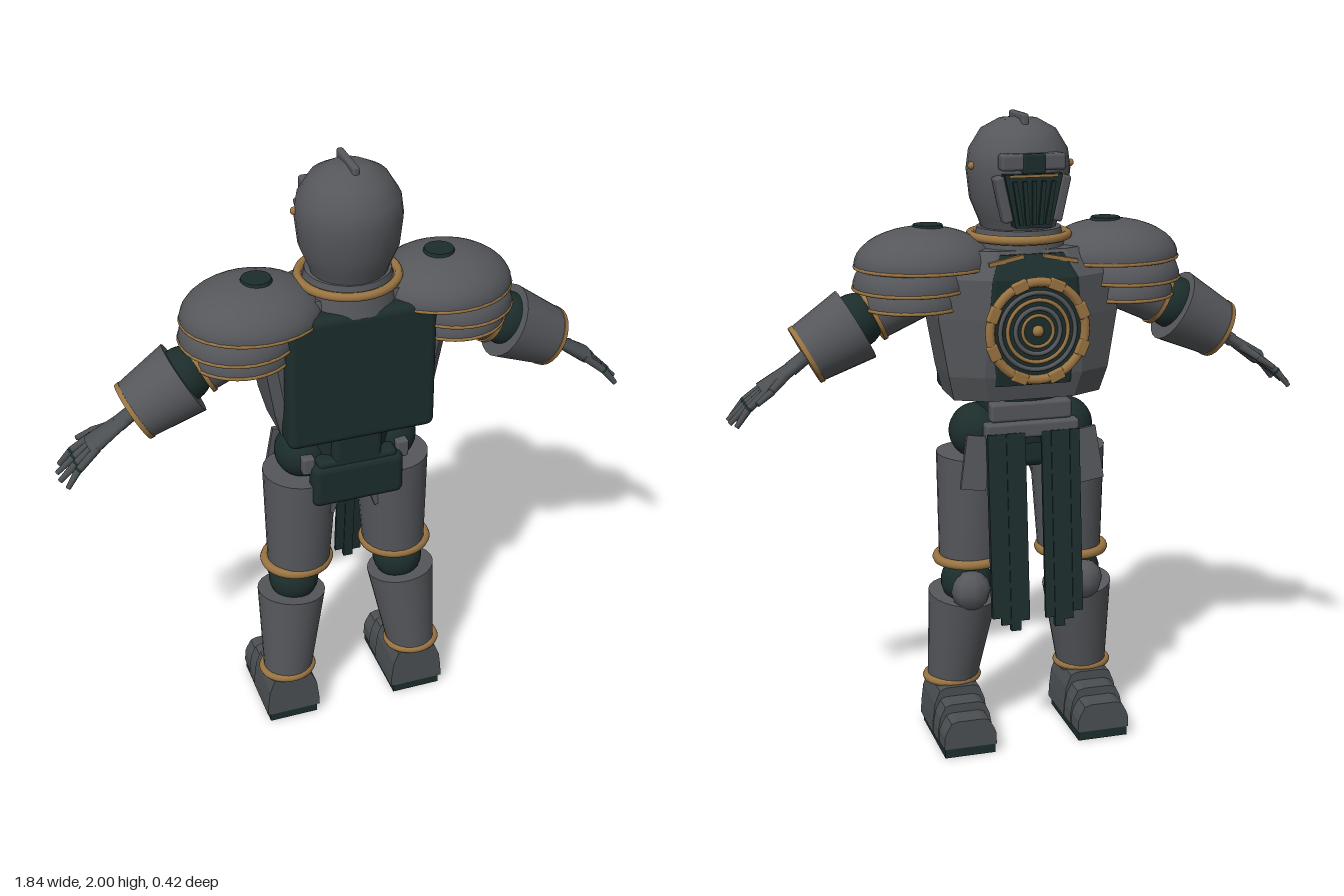
import * as THREE from 'three';
import { RoundedBoxGeometry } from 'three/addons/geometries/RoundedBoxGeometry.js';

const paint = (name, color) =>
  new THREE.MeshStandardMaterial({ name, color, side: THREE.DoubleSide });

export function createModel() {
  const model = new THREE.Group();
  const steel = paint('steel', 0x55575b);
  const gunmetal = paint('gunmetal', 0x4b4f52);
  const dark = paint('dark underlayer', 0x1c2d2c);
  const brass = paint('brass', 0x9a7442);

  const add = (name, geo, mat, x = 0, y = 0, z = 0) => {
    const m = new THREE.Mesh(geo, mat);
    m.name = name;
    m.position.set(x, y, z);
    model.add(m);
    return m;
  };
  const box = (name, mat, w, h, d, x, y, z, r = 0) =>
    add(name, r ? new RoundedBoxGeometry(w, h, d, 3, r) : new THREE.BoxGeometry(w, h, d), mat, x, y, z);
  const ball = (name, mat, r, x, y, z) => add(name, new THREE.SphereGeometry(r, 24, 16), mat, x, y, z);

  // Tapered limb from a to b; flat squashes it across the arm plane
  const up = new THREE.Vector3(0, 1, 0);
  const limb = (name, mat, a, b, ra, rb, flat = 1, sides = 24) => {
    const p = new THREE.Vector3(...a), q = new THREE.Vector3(...b), d = q.clone().sub(p);
    const m = add(name, new THREE.CylinderGeometry(rb, ra, d.length(), sides), mat);
    m.position.copy(p).add(q).multiplyScalar(0.5);
    m.quaternion.setFromUnitVectors(up, d.normalize());
    m.scale.x = flat;
    return m;
  };
  // Level ring, stretched to an ellipse
  const ring = (name, mat, rx, rz, tube, x, y, z) => {
    const m = add(name, new THREE.TorusGeometry(1, tube / rx, 8, 40), mat, x, y, z);
    m.rotation.x = Math.PI / 2;
    m.scale.set(rx, rz, rx);
    return m;
  };
  // Flat-shaded solid through chamfered sections [y, half width, back z, front z, back cut, front cut]
  const loft = (name, mat, sections) => {
    const pos = [], idx = [], n = 8;
    for (const [y, w, b, f, cb, cf] of sections)
      for (const [x, z] of [[w - cb, b], [w, b - cb], [w, f + cf * 0.5], [w - cf, f],
        [cf - w, f], [-w, f + cf * 0.5], [-w, b - cb], [cb - w, b]]) pos.push(x, y, z);
    for (let k = 0; k < sections.length - 1; k++)
      for (let i = 0; i < n; i++) {
        const a = k * n + i, b = k * n + (i + 1) % n;
        idx.push(a, b, a + n, b, b + n, a + n);
      }
    const top = (sections.length - 1) * n;
    for (let i = 1; i < n - 1; i++) idx.push(0, i + 1, i, top, top + i, top + i + 1);
    const g = new THREE.BufferGeometry();
    g.setAttribute('position', new THREE.Float32BufferAttribute(pos, 3));
    g.setIndex(idx);
    const flat = g.toNonIndexed();
    flat.computeVertexNormals();
    return add(name, flat, mat);
  };
  const extrude = (pts, depth) => new THREE.ExtrudeGeometry(
    new THREE.Shape(pts.map(p => new THREE.Vector2(...p))), { depth, bevelEnabled: false });

  // Helmet, crest and collar
  const profile = [[0.115, 1.65], [0.125, 1.68], [0.15, 1.74], [0.16, 1.83], [0.152, 1.89],
    [0.115, 1.95], [0.06, 1.98], [0, 1.987]].map(p => new THREE.Vector2(...p));
  add('helmet', new THREE.LatheGeometry(profile, 24), steel, 0, 0, 0.023);
  box('crest', steel, 0.022, 0.08, 0.15, 0, 1.96, 0.015, 0.008);
  add('gorget', new THREE.CylinderGeometry(0.13, 0.15, 0.1, 32), steel, 0, 1.605, 0.015);
  ring('collarTrim', brass, 0.15, 0.15, 0.014, 0, 1.63, 0.015);

  // Visor: ribbed face plate, brow and cheek plates
  add('facePlate', extrude([[-0.055, 1.67], [0.055, 1.67], [0.09, 1.83], [-0.09, 1.83]], 0.05), dark, 0, 0, -0.145);
  box('brow', steel, 0.2, 0.05, 0.05, 0, 1.865, -0.125, 0.01);
  box('browInset', dark, 0.07, 0.06, 0.05, 0, 1.86, -0.13, 0.008);
  box('eyeSlit', brass, 0.15, 0.008, 0.008, 0, 1.825, -0.146);
  for (let i = -2; i <= 2; i++) {
    const rib = box('faceRib', dark, 0.013, 0.13, 0.014, i * 0.025, 1.745, -0.148);
    rib.rotation.z = -i * 0.08;
  }

  // Chest, front panel and backpack
  loft('chest', steel, [
    [1.14, 0.235, 0.1, -0.13, 0.03, 0.1], [1.22, 0.255, 0.11, -0.15, 0.03, 0.1],
    [1.4, 0.285, 0.12, -0.166, 0.03, 0.14], [1.52, 0.275, 0.12, -0.166, 0.03, 0.14],
    [1.6, 0.17, 0.1, -0.12, 0.03, 0.06]]);
  loft('chestPanel', dark, [
    [1.19, 0.12, -0.1, -0.15, 0.01, 0.01], [1.4, 0.145, -0.1, -0.172, 0.01, 0.01],
    [1.52, 0.135, -0.1, -0.172, 0.01, 0.01], [1.59, 0.1, -0.1, -0.132, 0.01, 0.01]]);
  box('backpack', dark, 0.47, 0.44, 0.1, 0, 1.35, 0.112, 0.025);
  box('backpackTab', dark, 0.16, 0.14, 0.06, 0, 1.08, 0.09, 0.02);

  // Round chest emblem: dished disc with concentric rings
  const disc = add('emblemDisc', new THREE.CylinderGeometry(0.155, 0.155, 0.03, 40), dark, 0, 1.365, -0.175);
  disc.rotation.x = Math.PI / 2;
  for (const [r, t, mat] of [[0.15, 0.015, brass], [0.118, 0.007, steel], [0.095, 0.006, brass],
    [0.07, 0.007, steel], [0.048, 0.005, brass]])
    add('emblemRing', new THREE.TorusGeometry(r, t, 8, 40), mat, 0, 1.365, -0.19);
  ball('emblemStud', brass, 0.018, 0, 1.365, -0.19);
  for (let i = 0; i < 8; i++) {
    const a = (i + 0.5) * Math.PI / 4;
    box('emblemLug', brass, 0.035, 0.05, 0.02, Math.cos(a) * 0.15, 1.365 + Math.sin(a) * 0.15, -0.195, 0.006)
      .rotation.z = a;
  }

  // Waist, pelvis and belt
  add('abdomen', new THREE.CylinderGeometry(0.15, 0.13, 0.18, 24), dark, 0, 1.08, 0).scale.z = 0.8;
  box('pelvis', dark, 0.22, 0.16, 0.14, 0, 0.98, 0, 0.03);
  box('seatPlate', dark, 0.3, 0.15, 0.07, 0, 0.95, 0.095, 0.025);
  box('seatTop', dark, 0.26, 0.05, 0.06, 0, 1.015, 0.09, 0.015);
  box('belt', steel, 0.26, 0.06, 0.05, 0, 1.1, -0.105, 0.01);
  box('beltLower', steel, 0.3, 0.05, 0.05, 0, 1.045, -0.12, 0.01);

  for (const s of [-1, 1]) {
    // Helmet and collar fittings
    const cheek = box('cheekPlate', steel, 0.03, 0.14, 0.05, s * 0.09, 1.755, -0.118, 0.008);
    cheek.rotation.z = -s * 0.22;
    ball('helmetStud', brass, 0.012, s * 0.155, 1.845, -0.01);
    box('collarBar', brass, 0.11, 0.012, 0.014, s * 0.085, 1.575, -0.142).rotation.z = -s * 0.2;

    // Layered shoulder armour
    for (const [x, y, rx, h, rz, z] of [[0.3, 1.55, 0.215, 0.115, 0.19, 0.018],
      [0.342, 1.485, 0.178, 0.12, 0.183, 0.015], [0.34, 1.43, 0.16, 0.12, 0.16, 0.015]]) {
      const dome = add('shoulderPlate',
        new THREE.SphereGeometry(1, 28, 10, 0, Math.PI * 2, 0, Math.PI / 2), steel, s * x, y, z);
      dome.scale.set(rx, h, rz);
      ring('shoulderTrim', brass, rx * 0.985, rz * 0.985, 0.006, s * x, y - 0.003, z);
    }
    add('shoulderCap', new THREE.CylinderGeometry(0.045, 0.05, 0.015, 20), dark, s * 0.285, 1.662, 0.025);

    // Arm
    limb('upperArm', steel, [s * 0.3, 1.48, 0.02], [s * 0.46, 1.4, 0.02], 0.085, 0.078);
    limb('upperArmTrim', brass, [s * 0.455, 1.402, 0.02], [s * 0.467, 1.396, 0.02], 0.083, 0.083);
    ball('elbow', dark, 0.085, s * 0.515, 1.385, 0.02);
    limb('forearm', steel, [s * 0.515, 1.375, 0.02], [s * 0.67, 1.29, 0.02], 0.118, 0.094);
    limb('cuffTrim', brass, [s * 0.662, 1.294, 0.02], [s * 0.675, 1.287, 0.02], 0.098, 0.096);

    // Hand with jointed fingers
    limb('wrist', gunmetal, [s * 0.66, 1.295, 0.015], [s * 0.72, 1.25, 0.012], 0.03, 0.032, 0.7, 14);
    limb('palm', gunmetal, [s * 0.7, 1.265, 0.012], [s * 0.81, 1.19, 0.01], 0.034, 0.05, 0.5, 14);
    for (let i = 0; i < 4; i++) {
      const t = i - 1.5, z0 = 0.01 + t * 0.025, z1 = 0.01 + t * 0.036, z2 = 0.01 + t * 0.045;
      const reach = 0.92 - Math.abs(t) * 0.015;
      limb('finger', gunmetal, [s * 0.795, 1.2, z0], [s * 0.855, 1.152, z1], 0.013, 0.012, 1, 8);
      ball('knuckle', dark, 0.012, s * 0.858, 1.15, z1);
      limb('fingertip', gunmetal, [s * 0.86, 1.148, z1], [s * reach, 1.1, z2], 0.012, 0.008, 1, 8);
    }
    limb('thumb', gunmetal, [s * 0.74, 1.235, -0.01], [s * 0.79, 1.2, -0.055], 0.015, 0.012, 1, 8);
    limb('thumbTip', gunmetal, [s * 0.788, 1.2, -0.053], [s * 0.835, 1.17, -0.075], 0.012, 0.008, 1, 8);

    // Hip, thigh and hip plates
    ball('hip', dark, 0.088, s * 0.145, 1.02, -0.008);
    limb('thigh', steel, [s * 0.165, 0.6, 0], [s * 0.153, 0.95, -0.005], 0.102, 0.12);
    ring('thighTrim', brass, 0.104, 0.1, 0.016, s * 0.17, 0.605, -0.005);
    box('hipPlate', steel, 0.08, 0.17, 0.015, s * 0.18, 0.95, -0.13).rotation.set(0.08, 0, s * 0.15);
    box('hipBracket', steel, 0.04, 0.06, 0.08, s * 0.155, 1.02, 0.06, 0.008);
    box('rearTasset', steel, 0.05, 0.09, 0.02, s * 0.08, 0.86, 0.07).rotation.z = s * 0.3;

    // Knee, shin and ankle ring
    ball('knee', dark, 0.082, s * 0.182, 0.525, -0.005);
    add('kneeCap', new THREE.SphereGeometry(0.065, 8, 6), steel, s * 0.187, 0.515, -0.085).scale.z = 0.85;
    limb('shin', steel, [s * 0.222, 0.175, 0.035], [s * 0.192, 0.48, 0.0], 0.08, 0.112);
    ring('ankleTrim', brass, 0.083, 0.076, 0.013, s * 0.223, 0.185, 0.035);

    // Boot in three overlapping steps on a dark sole
    for (const [z, depth, h, w] of [[-0.065, 0.165, 0.18, 0.092], [-0.13, 0.07, 0.15, 0.09], [-0.2, 0.075, 0.122, 0.086]]) {
      const half = [[w, 0.03], [w * 0.98, 0.07], [w * 0.9, h * 0.72], [w * 0.72, h * 0.95], [w * 0.5, h]];
      add('boot', extrude([...half, ...half.map(([x, y]) => [-x, y]).reverse()], depth), gunmetal, s * 0.2225, 0, z);
    }
    box('sole', dark, 0.165, 0.03, 0.295, s * 0.2225, 0.015, -0.05);

    // Pleated front cloth, sloping forward to a ragged hem
    [0.6, 0.63, 0.61, 0.585].forEach((len, i) => {
      const pleat = box('clothPleat', dark, 0.032, len, 0.012 + (i % 2) * 0.008,
        s * (0.042 + i * 0.03), 1.04 - len / 2, -0.14 - len * 0.045);
      pleat.rotation.x = 0.09;
    });
  }
  return model;
}
